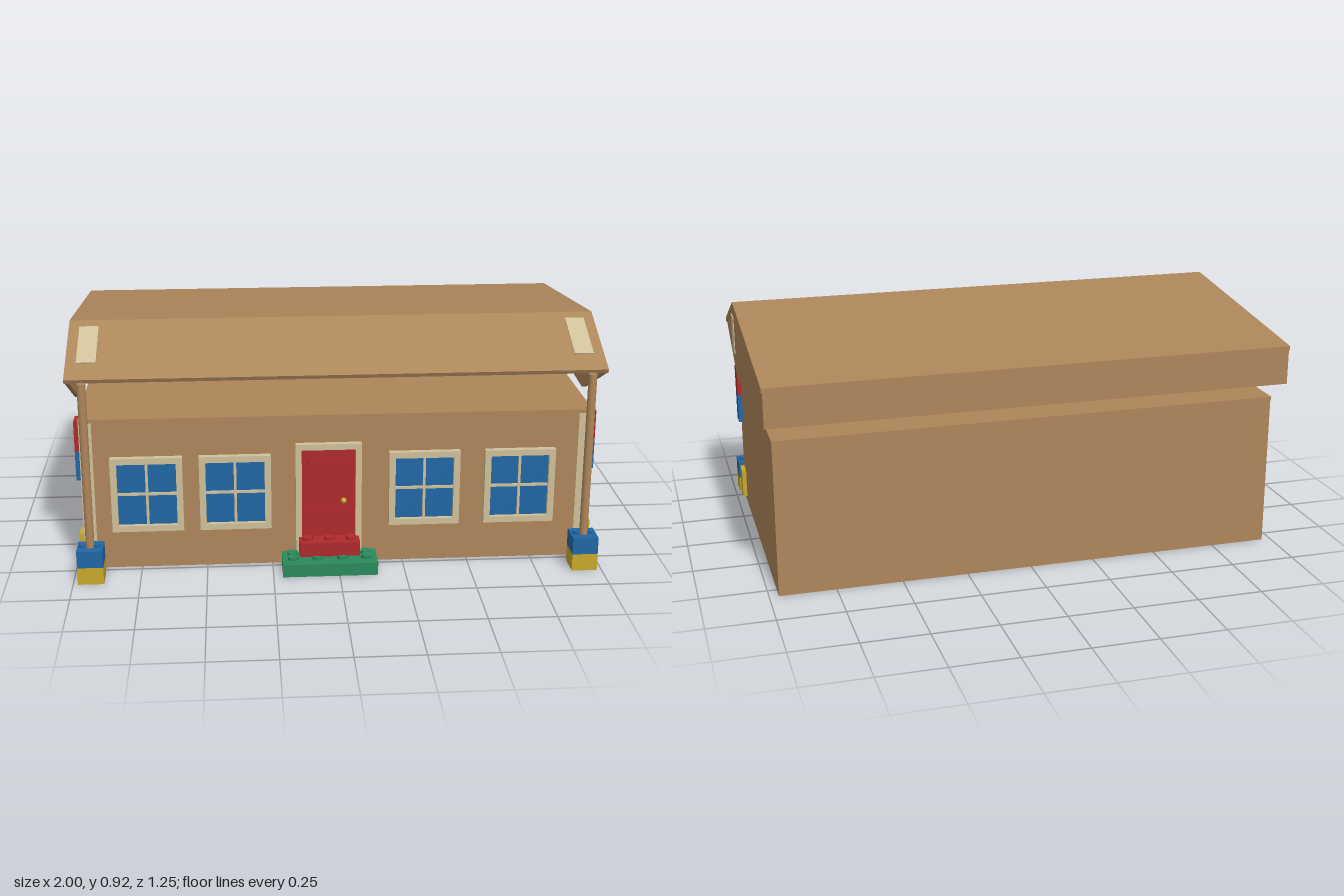
import * as THREE from 'three';

const mat = (name, color) => Object.assign(new THREE.MeshStandardMaterial({ color }), { name });

export function createModel() {
  const card = mat('cardboard', 0xad865a);
  const cream = mat('cream trim', 0xcfc19b);
  const red = mat('red', 0xb0292d);
  const blue = mat('blue', 0x2167a6);
  const yellow = mat('yellow', 0xc9a82c);
  const green = mat('green', 0x2a8a5b);

  const house = new THREE.Group();
  house.name = 'house';

  const add = (name, geometry, material, parent = house) => {
    const mesh = new THREE.Mesh(geometry, material);
    mesh.name = name;
    parent.add(mesh);
    return mesh;
  };
  // Box given by its limits on each axis
  const box = (name, material, [x0, x1], [y0, y1], [z0, z1], parent) => {
    const mesh = add(name, new THREE.BoxGeometry(x1 - x0, y1 - y0, z1 - z0), material, parent);
    mesh.position.set((x0 + x1) / 2, (y0 + y1) / 2, (z0 + z1) / 2);
    return mesh;
  };
  const stud = (material, x, y, z, r, h = 0.012) =>
    add('stud', new THREE.CylinderGeometry(r, r, h, 16), material).position.set(x, y + h / 2, z);
  // Profile of [z, y] points extruded along x, centred on x
  const slab = (name, material, points, width, x = 0, parent = house) => {
    const shape = new THREE.Shape(points.map(([z, y]) => new THREE.Vector2(z, y)));
    const geometry = new THREE.ExtrudeGeometry(shape, { depth: width, bevelEnabled: false });
    geometry.translate(0, 0, -width / 2).rotateY(-Math.PI / 2);
    add(name, geometry, material, parent).position.x = x;
  };

  // Walls and the flat lid on top of them
  box('walls', card, [-0.965, 0.965], [0, 0.586], [-0.557, 0.477]);
  box('wallLid', card, [-0.966, 0.966], [0.586, 0.6], [-0.561, 0.481]);

  // Hollow roof: folded top sheet, back wall and two gables
  const roof = new THREE.Group();
  roof.name = 'roof';
  house.add(roof);
  slab('roofSheet', card, [
    [0.55, 0.777], [0.24, 0.917], [-0.623, 0.817], [-0.623, 0.8], [0.24, 0.899], [0.543, 0.762],
  ], 2, 0, roof);
  box('roofBack', card, [-0.996, 0.996], [0.668, 0.802], [-0.623, -0.608], roof);
  const gable = [[0.543, 0.763], [0.24, 0.9], [-0.622, 0.801], [-0.622, 0.669], [0.24, 0.611]];
  for (const side of [-1, 1]) {
    slab('gable', card, gable, 0.016, side * 0.988, roof);
    box('gableWindow', cream, [side * 0.997 - 0.002, side * 0.997 + 0.002], [0.7, 0.85], [0.255, 0.332], roof);
    // Skylight lying on the front slope
    const skylight = add('skylight', new THREE.BoxGeometry(0.072, 0.006, 0.208), cream, roof);
    skylight.position.set(side * 0.924, 0.859, 0.375);
    skylight.rotation.x = Math.atan2(0.14, 0.31);
  }

  // Corner trim, building blocks and porch posts
  for (const side of [-1, 1]) {
    const mx = (a, b) => [side * a, side * b].sort((p, q) => p - q);
    box('cornerTrim', cream, mx(0.917, 0.965), [0, 0.586], [0.477, 0.481]);
    box('redSideBlock', red, mx(0.96, 0.982), [0.476, 0.592], [0.41, 0.476]);
    box('blueSideBlock', blue, mx(0.96, 0.982), [0.36, 0.476], [0.41, 0.476]);
    box('yellowSideBlock', yellow, mx(0.96, 0.982), [0.025, 0.142], [0.41, 0.476]);

    box('yellowPostBlock', yellow, mx(0.885, 0.982), [0, 0.067], [0.528, 0.625]);
    box('bluePostBlock', blue, mx(0.885, 0.982), [0.067, 0.133], [0.528, 0.625]);
    for (const dx of [-0.027, 0.027]) stud(blue, side * 0.934 + dx, 0.133, 0.577, 0.014);
    const post = add('post', new THREE.CylinderGeometry(0.016, 0.016, 0.638, 16), card);
    post.position.set(side * 0.934, 0.452, 0.577);
  }

  // Rectangular frame with a hole, standing on the front wall
  const frame = (name, [x0, x1], [y0, y1], w, bottom, parent) => {
    const rect = (C, a, b, c, d) => new C([[a, c], [b, c], [b, d], [a, d]].map((p) => new THREE.Vector2(...p)));
    const shape = rect(THREE.Shape, x0, x1, y0, y1);
    shape.holes.push(rect(THREE.Path, x0 + w, x1 - w, y0 + bottom, y1 - w));
    const geometry = new THREE.ExtrudeGeometry(shape, { depth: 0.026, bevelEnabled: false });
    add(name, geometry, cream, parent).position.z = 0.475;
  };

  // Four windows with crossed bars
  for (const x of [-0.72, -0.388, 0.33, 0.695]) {
    const win = new THREE.Group();
    win.name = 'window';
    house.add(win);
    frame('windowFrame', [x - 0.135, x + 0.135], [0.155, 0.45], 0.024, 0.024, win);
    box('glass', blue, [x - 0.112, x + 0.112], [0.178, 0.427], [0.476, 0.484], win);
    box('uprightBar', cream, [x - 0.005, x + 0.005], [0.178, 0.427], [0.48, 0.491], win);
    box('crossBar', cream, [x - 0.112, x + 0.112], [0.298, 0.308], [0.48, 0.491], win);
  }

  // Door with two raised panels and a knob
  const door = new THREE.Group();
  door.name = 'door';
  house.add(door);
  frame('doorFrame', [-0.16, 0.09], [0.04, 0.49], 0.023, 0.01, door);
  box('doorLeaf', red, [-0.138, 0.068], [0.045, 0.468], [0.476, 0.488], door);
  box('upperPanel', red, [-0.11, 0.04], [0.285, 0.42], [0.486, 0.493], door);
  box('lowerPanel', red, [-0.11, 0.04], [0.07, 0.222], [0.486, 0.493], door);
  add('knob', new THREE.SphereGeometry(0.011, 16, 12), yellow, door).position.set(0.022, 0.26, 0.498);

  // Studded front steps
  box('lowerStep', green, [-0.215, 0.145], [0, 0.05], [0.483, 0.612]);
  for (const x of [-0.175, -0.082, 0.012, 0.105]) {
    for (const z of [0.515, 0.558]) stud(green, x, 0.05, z, 0.02);
  }
  box('upperStep', red, [-0.15, 0.08], [0.059, 0.115], [0.48, 0.562]);
  for (const x of [-0.118, -0.035, 0.048]) stud(red, x, 0.115, 0.525, 0.02);

  return house;
}
